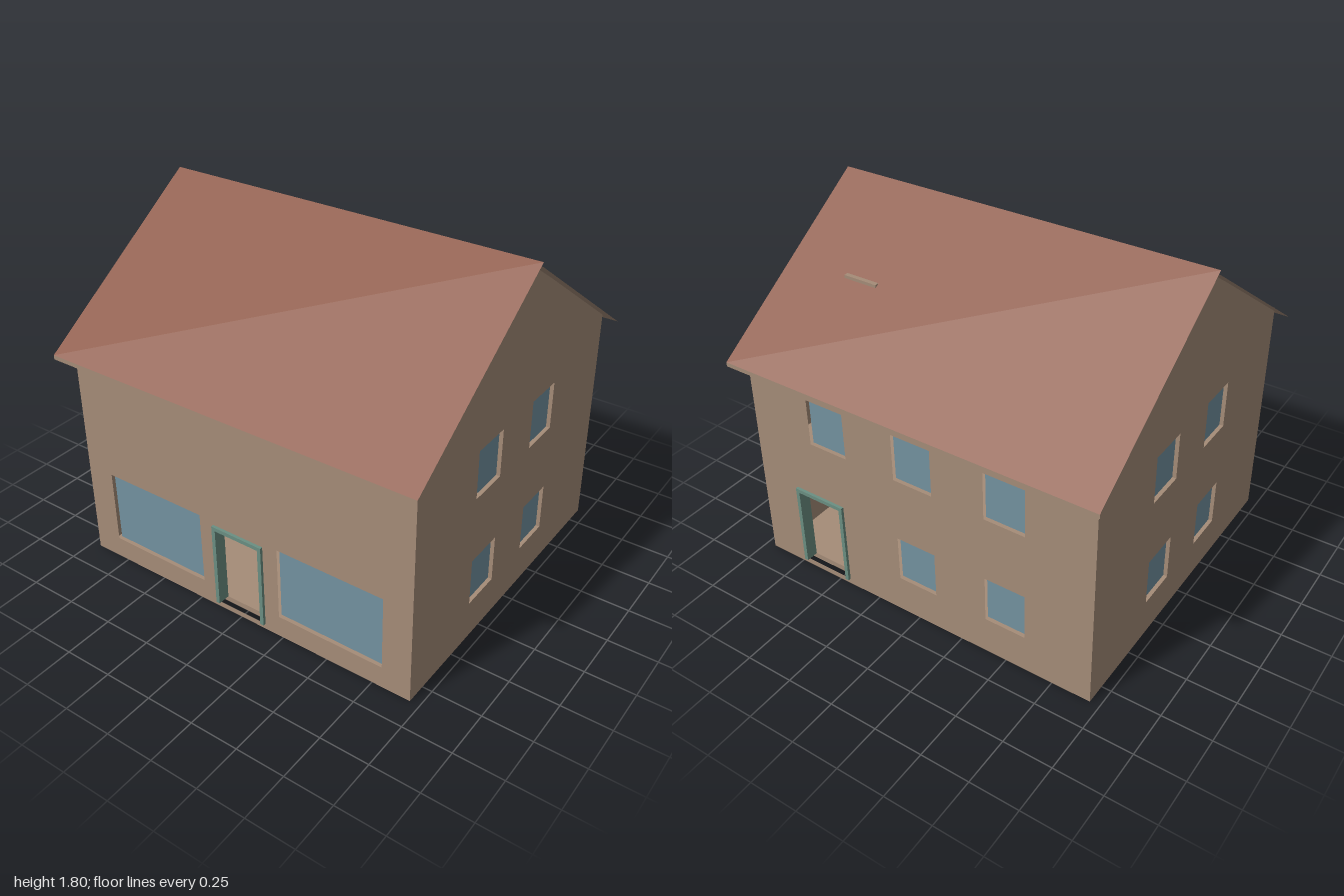
import * as THREE from 'three';

const mat = (name, color, side = THREE.FrontSide) => {
  const m = new THREE.MeshStandardMaterial({ color, side });
  m.name = name;
  return m;
};

export function createModel() {
  const house = new THREE.Group();
  house.name = 'house';
  const plaster = mat('tan plaster', 0xa58c78);
  const tile = mat('red brown tile', 0x85492f);
  const glass = mat('blue glass', 0x7392a0);
  const trim = mat('green trim', 0x6b8f82);

  const HX = 0.95, HZ = 0.855, T = 0.05, EAVE = 1.206, APEX = 1.77, FLOOR = 0.03;

  const add = (parent, name, geometry, material) => {
    const mesh = new THREE.Mesh(geometry, material);
    mesh.name = name;
    parent.add(mesh);
    return mesh;
  };
  const box = (parent, name, x0, x1, y0, y1, z0, z1, material) =>
    add(parent, name, new THREE.BoxGeometry(x1 - x0, y1 - y0, z1 - z0), material)
      .position.set((x0 + x1) / 2, (y0 + y1) / 2, (z0 + z1) / 2);
  const polygon = (pts, Type = THREE.Shape) => new Type(pts.map(p => new THREE.Vector2(...p)));
  const rect = ([x0, x1, y0, y1]) => [[x0, y0], [x0, y1], [x1, y1], [x1, y0]];

  // A wall of thickness T with openings, panes and door frames; out is the outer side (+1 or -1 along local z)
  function wall(name, outline, windows, doors, out) {
    const g = new THREE.Group();
    g.name = name;
    const shape = polygon(outline);
    const holes = [...windows, ...doors.map(x => [x - 0.143, x + 0.143, FLOOR, 0.483])];
    holes.forEach(h => shape.holes.push(polygon(rect(h), THREE.Path)));
    add(g, name + 'Panel', new THREE.ExtrudeGeometry(shape, { depth: T, bevelEnabled: false }), plaster);
    const paneZ = out > 0 ? T - 0.024 : 0.024;
    for (const [x0, x1, y0, y1] of windows)
      box(g, 'windowPane', x0, x1, y0, y1, paneZ - 0.004, paneZ + 0.004, glass);
    // Door surround lines the opening and stands slightly proud of the wall
    for (const x of doors) {
      const frame = polygon([
        [x - 0.145, FLOOR], [x - 0.125, FLOOR], [x - 0.125, 0.465], [x + 0.125, 0.465],
        [x + 0.125, FLOOR], [x + 0.145, FLOOR], [x + 0.145, 0.485], [x - 0.145, 0.485],
      ]);
      const m = add(g, 'doorFrame', new THREE.ExtrudeGeometry(frame, { depth: T + 0.015, bevelEnabled: false }), trim);
      m.position.z = out > 0 ? 0 : -0.015;
    }
    house.add(g);
    return g;
  }

  const LOW = [0.2, 0.447], HIGH = [0.79, 1.04];
  const win = (x, y) => [x - 0.107, x + 0.107, ...y];

  // Front and back walls
  const longWall = rect([-HX + T, HX - T, 0, 1.195]);
  wall('frontWall', longWall, [[-0.8, -0.228, 0.115, 0.505], [0.228, 0.8, 0.115, 0.505]], [0], 1)
    .position.z = HZ - T;
  wall('backWall', longWall,
    [win(0.495, HIGH), win(0, HIGH), win(-0.495, HIGH), win(0, LOW), win(-0.495, LOW)], [0.58], -1)
    .position.z = -HZ;

  // Gable walls
  const gable = [[-HZ, 0], [HZ, 0], [HZ, EAVE], [0, APEX], [-HZ, EAVE]];
  const gableWindows = [-0.248, 0.248].flatMap(z => [win(z, LOW), win(z, HIGH)]);
  for (const s of [1, -1]) {
    // Local +z turns towards world -x
    const g = wall(s > 0 ? 'leftGable' : 'rightGable', gable, gableWindows, [], -s);
    g.rotation.y = -Math.PI / 2;
    g.position.x = s > 0 ? HX : -HX + T;
  }

  // Ground slab, upper floor and attic floor
  for (const [name, y0, y1] of [['groundFloor', 0, FLOOR], ['upperFloor', 0.59, 0.62], ['atticFloor', 1.165, 1.195]])
    box(house, name, -HX + T, HX - T, y0, y1, -HZ + T, HZ - T, plaster);

  // Flue top just breaking through the back slope
  box(house, 'flue', 0.475, 0.66, 1.2, 1.497, -0.46, -0.41, plaster);

  // Roof: tiled sheets above, plain soffits below, open at the gable ends
  const RX = 1, RZ = 0.94;
  const quad = (a, b, c, d) => {
    const g = new THREE.BufferGeometry();
    g.setAttribute('position', new THREE.Float32BufferAttribute([...a, ...b, ...c, ...a, ...c, ...d], 3));
    g.computeVertexNormals();
    return g;
  };
  const roof = new THREE.Group();
  roof.name = 'roof';
  house.add(roof);
  for (const s of [1, -1]) {
    const x = RX * s, z = RZ * s;
    const label = s > 0 ? 'front' : 'back';
    add(roof, label + 'Slope', quad([-x, 1.152, z], [x, 1.152, z], [x, 1.797, 0], [-x, 1.797, 0]), tile);
    add(roof, label + 'Soffit', quad([-x, 1.775, 0], [x, 1.775, 0], [x, 1.13, z], [-x, 1.13, z]), plaster);
    add(roof, label + 'EaveBoard', quad([-x, 1.13, z], [x, 1.13, z], [x, 1.152, z], [-x, 1.152, z]), plaster);
  }
  return house;
}
